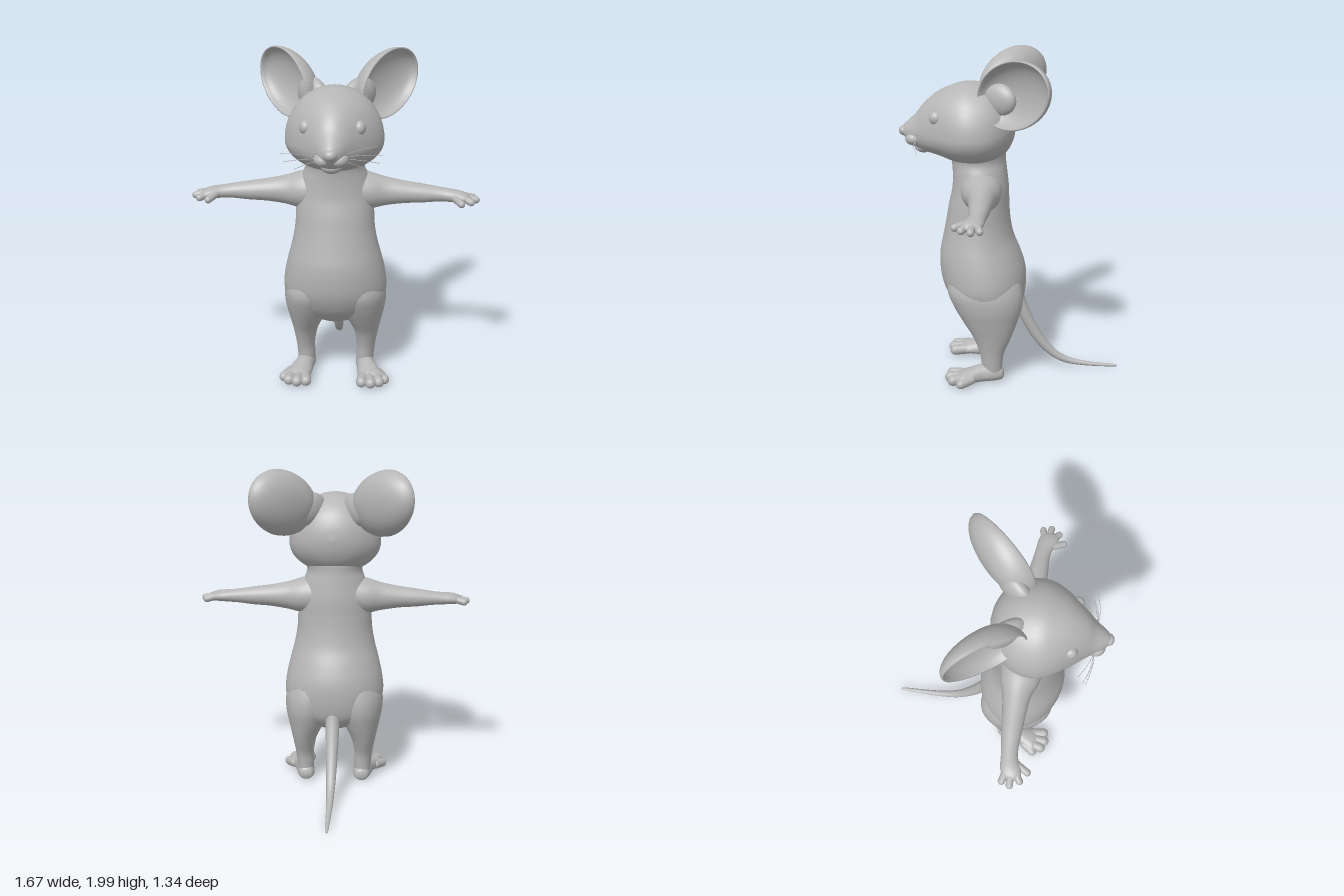
import * as THREE from 'three';

const V = (x, y, z) => new THREE.Vector3(x, y, z);
const X = V(1, 0, 0), Y = V(0, 1, 0), Z = V(0, 0, 1);

// Closed skin over a list of rings; rings run counter-clockwise about the direction of travel
function skin(rings) {
  const n = rings[0].length, pos = [], idx = [];
  rings.forEach(r => r.forEach(p => pos.push(p.x, p.y, p.z)));
  for (let k = 0; k < rings.length - 1; k++) {
    for (let i = 0; i < n; i++) {
      const a = k * n + i, b = k * n + (i + 1) % n;
      idx.push(a, b, a + n, b, b + n, a + n);
    }
  }
  const ends = [rings[0], rings[rings.length - 1]];
  ends.forEach((ring, e) => {
    const c = ring.reduce((s, p) => s.add(p), V(0, 0, 0)).divideScalar(n);
    const ci = pos.length / 3, o = e ? (rings.length - 1) * n : 0;
    pos.push(c.x, c.y, c.z);
    for (let i = 0; i < n; i++) {
      const a = o + i, b = o + (i + 1) % n;
      if (e) idx.push(ci, a, b); else idx.push(ci, b, a);
    }
  });
  const g = new THREE.BufferGeometry();
  g.setAttribute('position', new THREE.Float32BufferAttribute(pos, 3));
  g.setIndex(idx);
  g.computeVertexNormals();
  return g;
}

// Smooth loft through sections [x, y, z, radiusU, radiusV, radiusV on the far side]
function loft(sections, u, axis, sides = 32, sub = 5) {
  const centre = new THREE.CatmullRomCurve3(sections.map(s => V(s[0], s[1], s[2])), false, 'catmullrom');
  const radii = new THREE.CatmullRomCurve3(sections.map(s => V(s[3], s[4], s[5] ?? s[4])), false, 'catmullrom');
  const count = (sections.length - 1) * sub, rings = [];
  for (let k = 0; k <= count; k++) {
    const c = centre.getPoint(k / count), r = radii.getPoint(k / count);
    const v = (axis ? axis.clone() : centre.getTangent(k / count)).cross(u).normalize();
    const ring = [];
    for (let i = 0; i < sides; i++) {
      const a = i / sides * Math.PI * 2, s = Math.sin(a);
      ring.push(c.clone()
        .addScaledVector(u, Math.cos(a) * Math.max(r.x, 0.0005))
        .addScaledVector(v, s * Math.max(s > 0 ? r.y : r.z, 0.0005)));
    }
    rings.push(ring);
  }
  return skin(rings);
}

function ball(x, y, z, rx, ry = rx, rz = rx, turn = 0) {
  return new THREE.SphereGeometry(1, 28, 18).scale(rx, ry, rz).rotateY(turn).translate(x, y, z);
}

function capsule(a, b, r) {
  const d = b.clone().sub(a);
  const q = new THREE.Quaternion().setFromUnitVectors(Y, d.clone().normalize());
  const m = a.clone().add(b).multiplyScalar(0.5);
  return new THREE.CapsuleGeometry(r, d.length(), 6, 14).applyQuaternion(q).translate(m.x, m.y, m.z);
}

// Cupped ear shell: outer back, round the rim, then the hollow
function earShell() {
  const c = V(0.31, 1.8, 0), d = V(0.62, 0, -0.785), n = V(0.785, 0, 0.62), rings = [];
  const addRing = (s, depth, shift) => {
    const ring = [];
    for (let i = 0; i < 48; i++) {
      const a = i / 48 * Math.PI * 2, cs = Math.cos(a) * s, sn = Math.sin(a) * s;
      ring.push(c.clone().addScaledVector(d, 0.25 * cs + 0.05 * sn + shift)
        .addScaledVector(Y, 0.2 * sn).addScaledVector(n, -depth));
    }
    rings.push(ring);
  };
  for (let k = 0; k <= 14; k++) {
    const a = 0.02 + k / 14 * (Math.PI / 2 - 0.02), s = Math.sin(a);
    addRing(s, 0.14 * Math.cos(a), -0.09 * (1 - s));
  }
  addRing(0.985, -0.008, 0);
  addRing(0.955, -0.006, 0);
  for (let k = 13; k >= 0; k--) {
    const a = 0.02 + k / 14 * (Math.PI / 2 - 0.02), s = Math.sin(a);
    addRing(0.94 * s, 0.1 * Math.cos(a), -0.05 * (1 - s));
  }
  return skin(rings);
}

export function createModel() {
  const model = new THREE.Group();
  model.name = 'mouse';
  const grey = new THREE.MeshStandardMaterial({ color: 0xb6b6b6 });
  grey.name = 'plain grey';

  const add = (name, g) => {
    const mesh = new THREE.Mesh(g, grey);
    mesh.name = name;
    model.add(mesh);
  };
  // Adds a part on the left (+x) and its mirror on the right
  const pair = (name, g) => {
    add('left ' + name, g);
    const m = g.clone().scale(-1, 1, 1), ix = m.index.array;
    for (let i = 0; i < ix.length; i += 3) [ix[i], ix[i + 1]] = [ix[i + 1], ix[i]];
    add('right ' + name, m);
  };

  // Pear-shaped torso with neck
  add('torso', loft([
    [0, 0.36, 0.13, 0.02, 0.02], [0, 0.39, 0.13, 0.12, 0.12], [0, 0.44, 0.135, 0.22, 0.175],
    [0, 0.5, 0.15, 0.28, 0.22], [0, 0.6, 0.168, 0.308, 0.253], [0, 0.7, 0.18, 0.3, 0.26],
    [0, 0.8, 0.195, 0.278, 0.245], [0, 0.9, 0.205, 0.252, 0.215], [0, 1.0, 0.205, 0.234, 0.195],
    [0, 1.1, 0.2, 0.228, 0.182], [0, 1.2, 0.19, 0.22, 0.17], [0, 1.3, 0.193, 0.192, 0.163],
    [0, 1.37, 0.2, 0.17, 0.162], [0, 1.45, 0.21, 0.18, 0.165], [0, 1.52, 0.21, 0.1, 0.1],
  ], X, Y, 48));

  // Head, drawn out into a pointed snout
  add('head', loft([
    [0, 1.575, -0.022, 0.01, 0.01], [0, 1.575, -0.008, 0.09, 0.09, 0.08], [0, 1.565, 0.03, 0.17, 0.175, 0.14],
    [0, 1.545, 0.1, 0.24, 0.255, 0.175], [0, 1.53, 0.18, 0.275, 0.298, 0.182], [0, 1.53, 0.27, 0.28, 0.305, 0.178],
    [0, 1.53, 0.35, 0.25, 0.285, 0.16], [0, 1.53, 0.43, 0.195, 0.25, 0.13], [0, 1.53, 0.51, 0.13, 0.187, 0.108],
    [0, 1.53, 0.56, 0.092, 0.125, 0.088], [0, 1.532, 0.6, 0.068, 0.085, 0.065], [0, 1.54, 0.63, 0.045, 0.05, 0.04],
    [0, 1.545, 0.65, 0.02, 0.025, 0.02],
  ], X, Z, 48));
  add('nose', ball(0, 1.545, 0.64, 0.036, 0.03, 0.03));
  add('chin', ball(0, 1.452, 0.525, 0.06, 0.04, 0.055));
  pair('muzzle', ball(0.042, 1.503, 0.575, 0.052, 0.04, 0.055, -0.3));
  pair('eye', ball(0.146, 1.645, 0.438, 0.036, 0.041, 0.04));

  // Ears with fleshy roots
  pair('ear', earShell());
  pair('ear root', ball(0.135, 1.75, 0.085, 0.13, 0.1, 0.058, 0.9));

  // Whiskers
  const whiskers = [
    [0.25, 1.56, 0.5], [0.28, 1.525, 0.545], [0.26, 1.475, 0.53], [0.2, 1.44, 0.55],
  ];
  whiskers.forEach(([x, y, z], i) => {
    const start = V(0.07, 1.53 - i * 0.012, 0.57);
    const tip = V(x, y, z);
    const mid = start.clone().lerp(tip, 0.5).add(V(0, 0.008, 0.012));
    pair('whisker ' + (i + 1), new THREE.TubeGeometry(new THREE.CatmullRomCurve3([start, mid, tip]), 8, 0.0016, 5));
  });

  // Outstretched arms and palms
  pair('arm', loft([
    [0.08, 1.22, 0.185, 0.13, 0.12], [0.2, 1.207, 0.18, 0.115, 0.108], [0.29, 1.203, 0.177, 0.085, 0.085],
    [0.4, 1.2, 0.18, 0.069, 0.066], [0.5, 1.196, 0.183, 0.06, 0.056], [0.6, 1.193, 0.188, 0.05, 0.043],
    [0.66, 1.19, 0.196, 0.05, 0.038], [0.72, 1.187, 0.212, 0.06, 0.034], [0.76, 1.182, 0.22, 0.052, 0.027],
    [0.785, 1.18, 0.223, 0.02, 0.01],
  ], Z, X, 28));
  const fingers = [
    [0.73, 0.19, 0.797, 0.172], [0.74, 0.215, 0.814, 0.22], [0.73, 0.235, 0.782, 0.272], [0.685, 0.235, 0.725, 0.308],
  ];
  fingers.forEach(([x0, z0, x1, z1], i) =>
    pair('finger ' + (i + 1), capsule(V(x0, 1.188, z0), V(x1, 1.172, z1), 0.021)));

  // Legs
  pair('leg', loft([
    [0.18, 0.05, 0.125, 0.05, 0.06], [0.183, 0.13, 0.125, 0.054, 0.064], [0.187, 0.2, 0.125, 0.058, 0.076],
    [0.186, 0.3, 0.122, 0.078, 0.115], [0.172, 0.4, 0.133, 0.114, 0.165], [0.16, 0.5, 0.147, 0.145, 0.208],
    [0.15, 0.6, 0.167, 0.15, 0.225], [0.13, 0.7, 0.175, 0.12, 0.19], [0.11, 0.78, 0.18, 0.05, 0.08],
  ], X, Y));

  // Feet and toes
  pair('foot', loft([
    [0.176, 0.055, 0.052, 0.01, 0.01], [0.177, 0.055, 0.064, 0.04, 0.04, 0.035], [0.18, 0.055, 0.11, 0.055, 0.065, 0.043],
    [0.194, 0.055, 0.19, 0.06, 0.065, 0.043], [0.215, 0.052, 0.26, 0.075, 0.05, 0.037],
    [0.23, 0.048, 0.31, 0.082, 0.042, 0.032], [0.232, 0.045, 0.345, 0.05, 0.025, 0.02],
  ], X, Z));
  const toes = [
    [0.18, 0.29, 0.168, 0.37], [0.215, 0.3, 0.222, 0.38], [0.25, 0.29, 0.272, 0.362], [0.265, 0.25, 0.306, 0.312],
  ];
  toes.forEach(([x0, z0, x1, z1], i) =>
    pair('toe ' + (i + 1), capsule(V(x0, 0.052, z0), V(x1, i < 3 ? 0.05 : 0.04, z1), i < 3 ? 0.033 : 0.029)));

  // Tapering tail sweeping to the ground
  add('tail', loft([
    [0, 0.56, -0.01, 0.045, 0.045], [0, 0.415, -0.062, 0.042, 0.038], [0, 0.25, -0.143, 0.035, 0.033],
    [0, 0.13, -0.235, 0.028, 0.026], [0, 0.064, -0.335, 0.022, 0.021], [0, 0.034, -0.47, 0.016, 0.014],
    [0, 0.02, -0.64, 0.01, 0.008], [0, 0.019, -0.667, 0.002, 0.002],
  ], X, null, 20, 6));

  return model;
}
